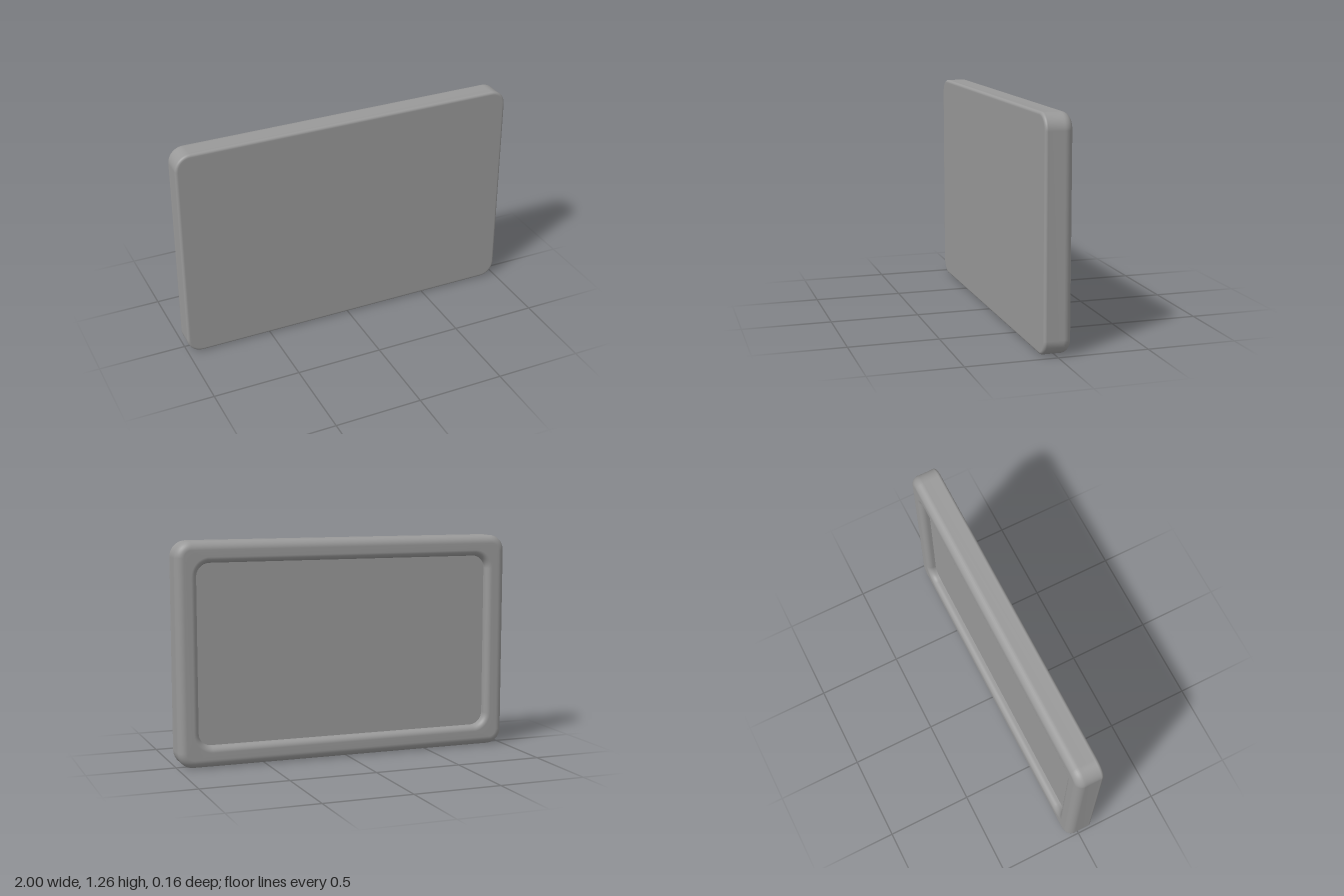
import * as THREE from 'three';

const W = 2, H = 1.26, D = 0.156;   // outer size
const CORNER = 0.09;                // outer corner radius
const RIM = 0.12, OPENING_R = 0.075; // rim width and recess corner radius
const FRONT_R = 0.016, BACK_R = 0.048, LIP_R = 0.034;
const FLOOR_Z = -D / 2 + 0.05;

// Counter-clockwise outline of a rounded rectangle, inset from the outer size
function ring(inset, radius, steps = 10) {
  const pts = [];
  const hx = W / 2 - inset - radius, hy = H / 2 - inset - radius;
  [[1, 1], [-1, 1], [-1, -1], [1, -1]].forEach(([sx, sy], q) => {
    for (let i = 0; i <= steps; i++) {
      const a = (q + i / steps) * Math.PI / 2;
      pts.push(new THREE.Vector2(sx * hx + radius * Math.cos(a), sy * hy + radius * Math.sin(a)));
    }
  });
  return pts;
}

// Cross-section of the rim: [inset, z, corner radius], front to back to recess
function rimProfile() {
  const p = [];
  const outer = (inset, z) => p.push([inset, z, CORNER - inset]);
  const n = 8, q = Math.PI / 2 / n;
  outer(FRONT_R + 0.01, D / 2);
  for (let i = 0; i <= n; i++)
    outer(FRONT_R * (1 - Math.sin(i * q)), D / 2 - FRONT_R * (1 - Math.cos(i * q)));
  outer(0.001, 0.05);
  outer(0.001, -D / 2 + BACK_R + 0.01);
  for (let i = 0; i <= n; i++)
    outer(BACK_R * (1 - Math.cos(i * q)), -D / 2 + BACK_R * (1 - Math.sin(i * q)));
  for (let i = 0; i <= n; i++) {
    const inset = RIM - LIP_R * (1 - Math.sin(i * q));
    p.push([inset, -D / 2 + LIP_R * (1 - Math.cos(i * q)), OPENING_R + RIM - inset]);
  }
  p.push([RIM, FLOOR_Z, OPENING_R]);
  return p;
}

// Skin the profile around the outline
function rimGeometry(profile) {
  const pos = [], idx = [];
  let n = 0;
  profile.forEach(([inset, z, r]) => {
    const pts = ring(inset, r);
    n = pts.length;
    pts.forEach(v => pos.push(v.x, v.y, z));
  });
  for (let i = 0; i < profile.length - 1; i++) {
    for (let j = 0; j < n; j++) {
      const k = (j + 1) % n;
      const a = i * n + j, b = i * n + k, c = a + n, d = b + n;
      idx.push(a, c, b, b, c, d);
    }
  }
  const g = new THREE.BufferGeometry();
  g.setAttribute('position', new THREE.Float32BufferAttribute(pos, 3));
  g.setIndex(idx);
  g.computeVertexNormals();
  return g;
}

export function createModel() {
  const group = new THREE.Group();
  group.name = 'recessedPanel';
  const grey = new THREE.MeshStandardMaterial({ color: 0x999999 });
  grey.name = 'grey';

  const add = (name, geometry) => {
    const mesh = new THREE.Mesh(geometry, grey);
    mesh.name = name;
    mesh.position.y = H / 2;
    group.add(mesh);
    return mesh;
  };

  const profile = rimProfile();
  const [first, last] = [profile[0], profile[profile.length - 1]];
  const plate = ([inset, , r]) => new THREE.ShapeGeometry(new THREE.Shape(ring(inset, r)));

  // Rounded rim with its raised back border
  add('rim', rimGeometry(profile));
  // Flat front face
  add('frontFace', plate(first).translate(0, 0, first[1]));
  // Floor of the recess, facing the back
  add('recessFloor', plate(last).rotateY(Math.PI).translate(0, 0, last[1]));

  return group;
}
